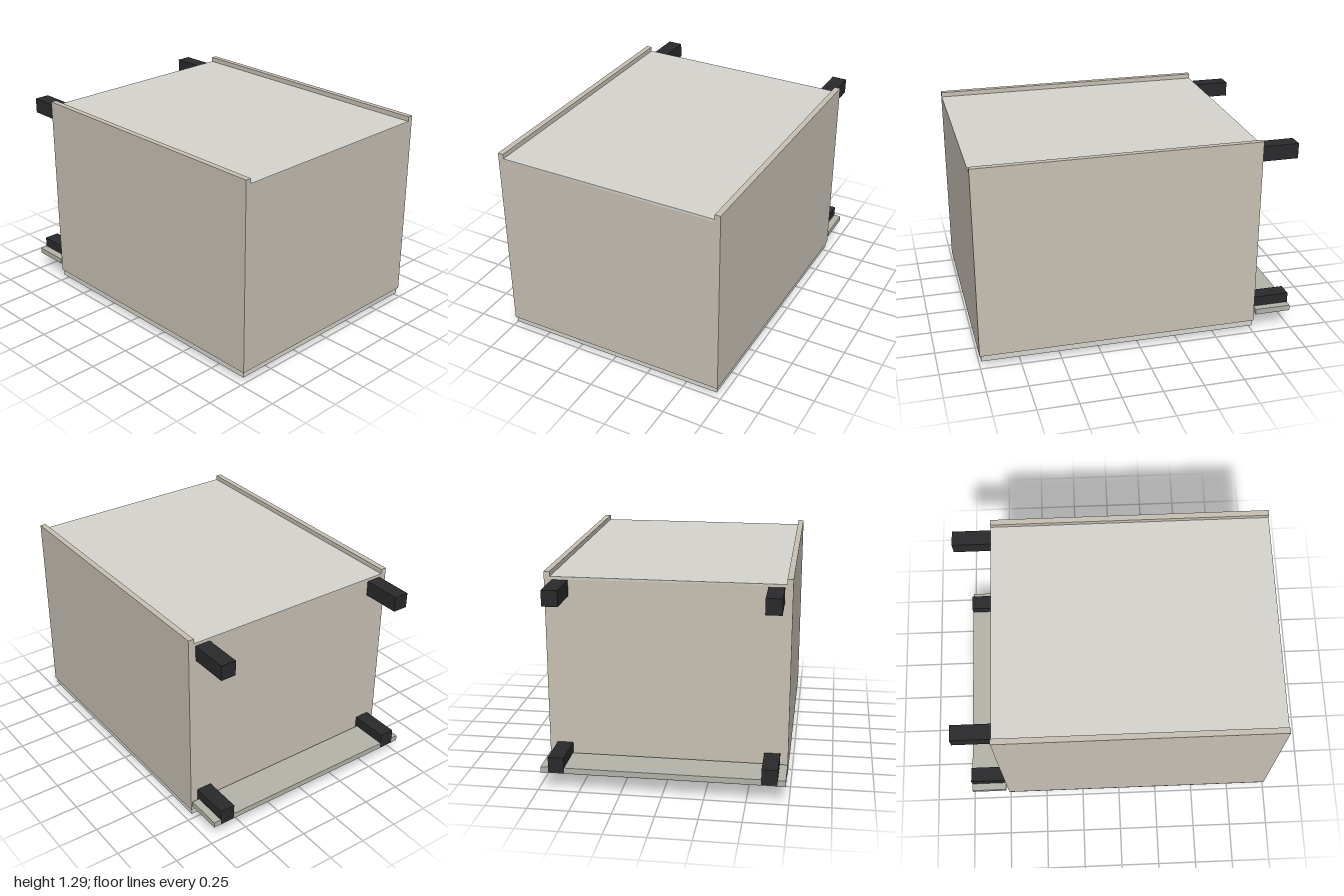
import * as THREE from 'three';

const material = (color) => new THREE.MeshStandardMaterial({ color });

export function createModel() {
  const cabinet = new THREE.Group();
  cabinet.name = 'cabinet';

  const carcass = material(0xc8c0b4);
  const pale = material(0xd6d5ce);
  const plinthGrey = material(0xb4b4aa);
  const black = material(0x2a2a2c);
  const metal = material(0x85868a);

  // Box given by its extents along each axis
  function box(name, mat, [x0, x1], [y0, y1], [z0, z1]) {
    const mesh = new THREE.Mesh(new THREE.BoxGeometry(x1 - x0, y1 - y0, z1 - z0), mat);
    mesh.position.set((x0 + x1) / 2, (y0 + y1) / 2, (z0 + z1) / 2);
    mesh.name = name;
    cabinet.add(mesh);
    return mesh;
  }

  const W = 0.73, T = 0.036, inner = W - T;
  const back = -0.755, bottom = 0.074;

  // Carcass: two sides standing proud of the recessed panel, two end boards
  box('rightSide', carcass, [-W, -inner], [bottom, 1.29], [back, 1]);
  box('leftSide', carcass, [inner, W], [bottom, 1.29], [back, 1]);
  box('frontBoard', carcass, [-inner, inner], [bottom, 1.255], [1 - T, 1]);
  box('backBoard', carcass, [-inner, inner], [bottom, 1.255], [back, back + T]);
  box('recessedPanel', pale, [-inner, inner], [1.245, 1.26], [back, 1]);

  // Door closing the underside, with its bar handle
  box('door', pale, [-0.722, 0.722], [0.035, 0.071], [-0.747, 0.99]);
  box('handle', metal, [-0.115, 0.115], [0, 0.035], [0.799, 0.825]);

  // Four square legs pointing backwards
  for (const side of [-1, 1]) {
    for (const y of [0.167, 1.193]) {
      const x = side * 0.635;
      box('leg', black, [x - 0.048, x + 0.048], [y - 0.048, y + 0.048], [-1, back]);
    }
  }

  // Plinth board across the lower legs
  box('plinth', plinthGrey, [-W, W], [0.115, 0.151], [-0.999, -0.77]);

  return cabinet;
}
